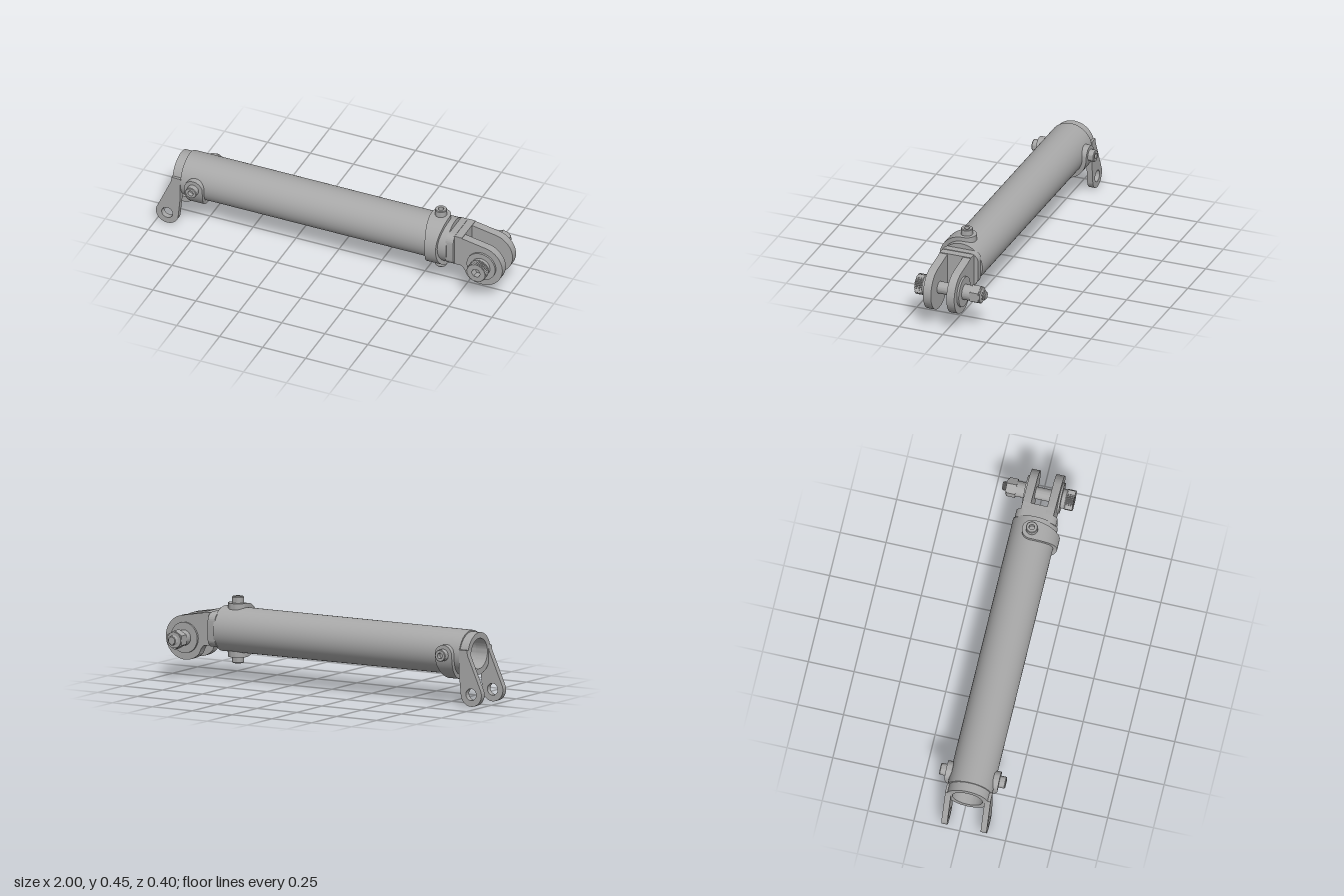
import * as THREE from 'three';
import { toCreasedNormals } from 'three/addons/utils/BufferGeometryUtils.js';

const CY = 0.268, CZ = 0.022;            // tube axis
const PX = 0.88, PY = 0.213;             // fork pivot
const V = (x, y) => new THREE.Vector2(x, y);

export function createModel() {
  const steel = new THREE.MeshStandardMaterial({ color: 0xa8a8a8 });
  steel.name = 'steel grey';
  const model = new THREE.Group();

  function add(parent, name, geo, x = 0, y = 0, z = 0) {
    const mesh = new THREE.Mesh(toCreasedNormals(geo, 0.6), steel);
    mesh.name = name;
    mesh.position.set(x, y, z);
    parent.add(mesh);
    return mesh;
  }
  const lathe = (pts, seg = 48) => new THREE.LatheGeometry(pts.map(p => V(p[0], p[1])), seg);
  const extrude = (shape, depth) =>
    new THREE.ExtrudeGeometry(shape, { depth, bevelEnabled: false, curveSegments: 24 });
  function addHole(shape, x, y, r) {
    const hole = new THREE.Path();
    hole.absarc(x, y, r, 0, Math.PI * 2, true);
    shape.holes.push(hole);
  }

  // Long tube, open at the left end
  add(model, 'tube', lathe([
    [0, 0.6], [0.085, 0.6], [0.085, -0.86], [0.122, -0.86], [0.122, 0.685], [0, 0.685],
  ], 64).rotateZ(-Math.PI / 2), 0, CY, CZ);

  // Left end sleeve with two drilled legs
  add(model, 'endSleeve', lathe([
    [0.082, -0.84], [0.082, -0.91], [0.114, -0.91], [0.114, -0.84],
  ], 64).rotateZ(-Math.PI / 2), 0, CY, CZ);
  const leg = new THREE.Shape();
  leg.moveTo(-0.858, 0.3);
  leg.lineTo(-0.91, 0.3);
  leg.lineTo(-0.912, 0.275);
  leg.absarc(-0.935, 0.065, 0.065, Math.PI * 0.89, Math.PI * 1.93, false);
  leg.lineTo(-0.861, 0.16);
  leg.closePath();
  addHole(leg, -0.935, 0.065, 0.032);
  for (const z of [0.115, -0.1]) add(model, 'endLeg', extrude(leg, 0.032), 0, 0, z);

  // Half-round strap: narrow in the middle, with a round pad at each end
  function strapGeometry() {
    const rings = [], PAD = 0.053, IN = 0.112, OUT = 0.145;
    const ring = (w, c, s, e) => rings.push([[w, OUT], [-w, OUT], [-w, IN], [w, IN]]
      .map(([x, r]) => [x, r * c, r * s - e]));
    const pad = i => [PAD * Math.cos(i * Math.PI / 20), PAD * Math.sin(i * Math.PI / 20)];
    for (let i = 0; i < 10; i++) { const [e, w] = pad(i); ring(w, 1, 0, e); }
    for (let i = 0; i <= 40; i++) {
      const a = Math.PI * i / 40, c = Math.cos(a);
      ring(0.032 + 0.021 * c * c, c, Math.sin(a), 0);
    }
    for (let i = 9; i >= 0; i--) { const [e, w] = pad(i); ring(w, -1, 0, e); }
    const index = [];
    for (let i = 0; i < rings.length - 1; i++) {
      for (let j = 0; j < 4; j++) {
        const a = i * 4 + j, b = i * 4 + (j + 1) % 4;
        index.push(a, b, b + 4, a, b + 4, a + 4);
      }
    }
    const geo = new THREE.BufferGeometry();
    geo.setAttribute('position', new THREE.Float32BufferAttribute(rings.flat(2), 3));
    geo.setIndex(index);
    return geo;
  }

  // Each strap carries a socket-head bolt on both pads
  function addStrap(name, x, turn) {
    const group = new THREE.Group();
    group.name = name;
    group.position.set(x, CY, CZ);
    group.rotation.x = turn;
    add(group, 'strapBand', strapGeometry());
    for (const flip of [0, Math.PI]) {
      const head = lathe([
        [0.032, 0.13], [0.032, 0.175], [0.029, 0.179], [0.015, 0.179], [0.015, 0.155], [0, 0.155],
      ], 24);
      add(group, 'strapBolt', head.rotateX(flip));
    }
    model.add(group);
  }
  addStrap('rightStrap', 0.603, 0);
  addStrap('leftStrap', -0.775, Math.PI / 2);

  // Collar between tube and fork: a rounded block
  const hw = 0.112, top = 0.362, low = 0.175, r = 0.045;
  const collar = new THREE.Shape();
  collar.absarc(hw - r, top - r, r, 0, Math.PI / 2, false);
  collar.absarc(-hw + r, top - r, r, Math.PI / 2, Math.PI, false);
  collar.absarc(-hw + r, low + r, r, Math.PI, Math.PI * 1.5, false);
  collar.absarc(hw - r, low + r, r, Math.PI * 1.5, Math.PI * 2, false);
  collar.closePath();
  add(model, 'forkCollar', extrude(collar, 0.045).rotateY(Math.PI / 2), 0.678, 0, CZ);
  add(model, 'forkBase', new THREE.BoxGeometry(0.045, 0.178, 0.178), 0.7425, 0.27, 0.0235);

  // Fork cheeks with raised outer bosses
  const cheek = new THREE.Shape();
  cheek.moveTo(0.72, 0.181);
  cheek.lineTo(0.755, 0.181);
  cheek.quadraticCurveTo(0.775, 0.178, 0.79, 0.135);
  cheek.absarc(PX, PY, 0.12, Math.PI * 1.23, Math.PI * 2.42, false);
  cheek.lineTo(0.745, 0.359);
  cheek.lineTo(0.72, 0.359);
  cheek.closePath();
  addHole(cheek, PX, PY, 0.03);
  const disc = (rad, z0, z1, seg = 48) =>
    new THREE.CylinderGeometry(rad, rad, z1 - z0, seg).rotateX(Math.PI / 2).translate(PX, PY, (z0 + z1) / 2);
  for (const z of [0.068, -0.066]) add(model, 'forkCheek', extrude(cheek, 0.045), 0, 0, z);
  add(model, 'forkBoss', disc(0.083, 0.11, 0.124));
  add(model, 'forkBoss', disc(0.083, -0.077, -0.06));

  // Pivot bolt: shank, knurled socket head, spacer, nut and threaded tip
  add(model, 'pivotShank', disc(0.033, -0.08, 0.13));
  add(model, 'pivotHeadBase', disc(0.053, 0.12, 0.15));
  const knurl = new THREE.Shape();
  for (let i = 0; i < 72; i++) {
    const a = i * Math.PI / 36, rad = i % 2 ? 0.051 : 0.056;
    const p = [rad * Math.cos(a), rad * Math.sin(a)];
    i ? knurl.lineTo(...p) : knurl.moveTo(...p);
  }
  knurl.closePath();
  const socket = new THREE.Path();
  for (let i = 0; i < 6; i++) {
    const a = -i * Math.PI / 3, p = [0.026 * Math.cos(a), 0.026 * Math.sin(a)];
    i ? socket.lineTo(...p) : socket.moveTo(...p);
  }
  socket.closePath();
  knurl.holes.push(socket);
  add(model, 'pivotHead', extrude(knurl, 0.045), PX, PY, 0.145);
  add(model, 'pivotSpacer', disc(0.042, -0.126, -0.07));
  add(model, 'pivotNut', disc(0.052, -0.172, -0.124, 6));
  add(model, 'nutCollar', disc(0.043, -0.179, -0.17));
  const thread = [[0.022, 0.16]];
  for (let i = 0; i < 4; i++) thread.push([0.027, 0.172 + i * 0.007], [0.022, 0.1755 + i * 0.007]);
  thread.push([0.02, 0.202], [0, 0.202]);
  add(model, 'threadedTip', lathe(thread, 24).rotateX(-Math.PI / 2), PX, PY, 0);

  return model;
}
